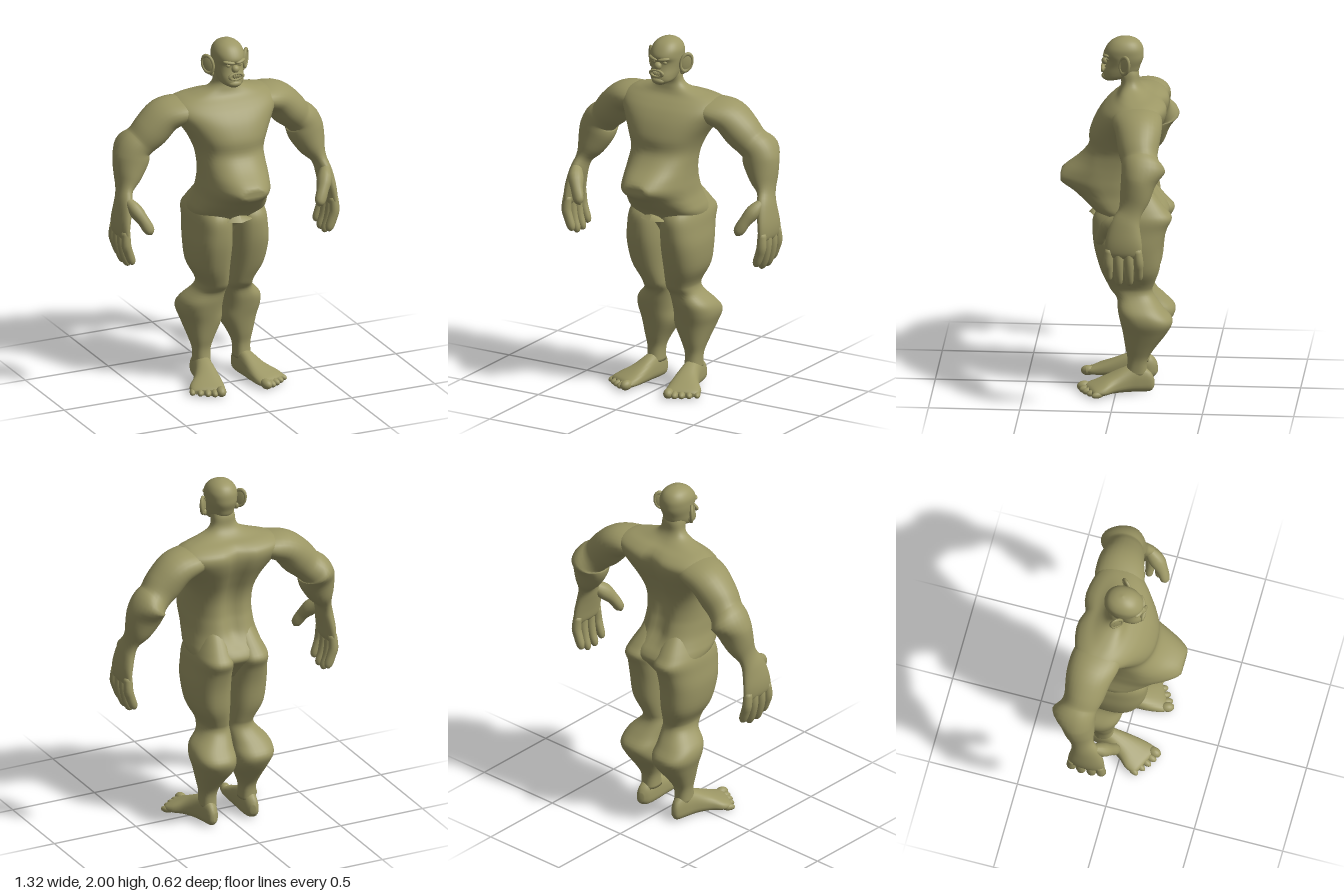
import * as THREE from 'three';

const V = (x, y, z) => new THREE.Vector3(x, y, z);
const UP = V(0, 1, 0), DOWN = V(0, -1, 0), FRONT = V(0, 0, 1);

// Catmull-Rom interpolation through rows of numbers
function smoothRows(rows, steps) {
  const out = [], last = rows.length - 1;
  for (let i = 0; i < last; i++) {
    const [a, b, c, d] = [rows[Math.max(i - 1, 0)], rows[i], rows[i + 1], rows[Math.min(i + 2, last)]];
    for (let s = 0; s < steps; s++) {
      const t = s / steps;
      out.push(b.map((_, k) => 0.5 * (2 * b[k] + (c[k] - a[k]) * t
        + (2 * a[k] - 5 * b[k] + 4 * c[k] - d[k]) * t * t
        + (3 * b[k] - a[k] - 3 * c[k] + d[k]) * t * t * t)));
    }
  }
  out.push(rows[last]);
  return out;
}

// Skin over rings [x, y, z, side radius, front radius, back radius]
function loft(rows, { axis = null, ref = FRONT, n = 28, steps = 4, power = 1, shape = null } = {}) {
  const rings = smoothRows(rows, steps), pos = [], idx = [], m = rings.length;
  const centre = i => V(...rings[i].slice(0, 3));
  rings.forEach(([x, y, z, a, f, b], i) => {
    const t = axis ? axis.clone().normalize()
      : centre(Math.min(i + 1, m - 1)).sub(centre(Math.max(i - 1, 0))).normalize();
    const w = ref.clone().addScaledVector(t, -ref.dot(t)).normalize();
    const u = w.clone().cross(t);
    for (let j = 0; j < n; j++) {
      const q = j / n * Math.PI * 2, co = Math.cos(q), si = Math.sin(q);
      const cu = Math.sign(co) * Math.abs(co) ** power, su = Math.sign(si) * Math.abs(si) ** power;
      const p = V(x, y, z).addScaledVector(u, cu * Math.max(a, 0.002))
        .addScaledVector(w, su * Math.max(si > 0 ? f : b, 0.002));
      if (shape) shape(p);
      pos.push(p.x, p.y, p.z);
      if (i < m - 1) {
        const k = i * n + j, l = i * n + (j + 1) % n;
        idx.push(k, l, k + n, l, l + n, k + n);
      }
    }
  });
  for (const i of [0, m - 1]) { // end caps
    const c = pos.length / 3;
    pos.push(...centre(i).toArray());
    for (let j = 0; j < n; j++) {
      const k = i * n + j, l = i * n + (j + 1) % n;
      idx.push(c, i ? k : l, i ? l : k);
    }
  }
  const g = new THREE.BufferGeometry();
  g.setAttribute('position', new THREE.Float32BufferAttribute(pos, 3));
  g.setIndex(idx);
  g.computeVertexNormals();
  return g;
}

// Level ring given by its front and back z
const slab = (x, y, a, front, back, c = (front + back) / 2) => [x, y, c, a, front - c, c - back];

function place(g, p, r = [0, 0, 0]) {
  return g.rotateX(r[0]).rotateZ(r[2]).rotateY(r[1]).translate(...p);
}
const blob = (p, s, r) => place(new THREE.SphereGeometry(1, 18, 12).scale(...s), p, r);

function mirrored(g) {
  const c = g.clone().scale(-1, 1, 1), i = c.index.array;
  for (let k = 0; k < i.length; k += 3) [i[k], i[k + 1]] = [i[k + 1], i[k]];
  c.computeVertexNormals();
  return c;
}

export function createModel() {
  const model = new THREE.Group();
  const skin = new THREE.MeshStandardMaterial({ color: 0x9c9765 });
  skin.name = 'olive skin';
  const add = (name, g) => {
    const mesh = new THREE.Mesh(g, skin);
    mesh.name = name;
    model.add(mesh);
  };
  const pair = (name, g) => { add('left ' + name, g); add('right ' + name, mirrored(g)); };

  // Pelvis, belly, chest and neck, with a blunt tapered belly and a groove along the spine
  const step = THREE.MathUtils.smoothstep;
  add('torso', loft([
    slab(0, 0.87, 0.15, 0.02, -0.18), slab(0, 0.95, 0.19, 0.065, -0.24), slab(0, 1.0, 0.204, 0.112, -0.28),
    slab(0, 1.04, 0.207, 0.145, -0.268, -0.04), slab(0, 1.08, 0.198, 0.19, -0.238, -0.02),
    slab(0, 1.13, 0.187, 0.25, -0.21, 0), slab(0, 1.19, 0.183, 0.335, -0.19, 0.02),
    slab(0, 1.24, 0.18, 0.305, -0.178, 0.02), slab(0, 1.31, 0.18, 0.215, -0.175, 0),
    slab(0, 1.38, 0.188, 0.16, -0.19, -0.03), slab(0, 1.46, 0.22, 0.155, -0.225, -0.06),
    slab(0, 1.54, 0.272, 0.125, -0.262, -0.1), slab(0, 1.6, 0.315, 0.085, -0.278, -0.13),
    slab(0, 1.64, 0.31, 0.045, -0.268, -0.14), slab(0, 1.67, 0.255, 0.01, -0.228, -0.13),
    slab(0, 1.69, 0.18, -0.005, -0.175, -0.1), slab(0, 1.715, 0.105, -0.014, -0.138), slab(0, 1.75, 0.072, -0.018, -0.118),
    slab(0, 1.8, 0.066, 0, -0.113), slab(0, 1.85, 0.055, 0, -0.09),
  ], {
    axis: UP, n: 48, power: 0.84,
    shape: p => {
      p.z = Math.min(p.z, 0.31);
      p.x *= 1 - 0.9 * Math.max(0, p.z - 0.12);
      const fade = step(p.y, 1.02, 1.15) * (1 - step(p.y, 1.62, 1.72));
      if (p.z < -0.1) p.z += 0.03 * fade * Math.exp(-((p.x / 0.05) ** 2));
    },
  }));
  add('groin fold', place(new THREE.ConeGeometry(0.085, 0.045, 4).scale(1, 1, 0.45), [0, 1.01, 0.12]));

  // Legs: buttock, thigh, knee, calf, ankle
  pair('leg', loft([
    slab(0.085, 1.15, 0.055, 0.02, -0.175), slab(0.092, 1.09, 0.078, 0.06, -0.228), slab(0.1, 1.04, 0.095, 0.1, -0.27),
    slab(0.104, 0.995, 0.106, 0.127, -0.303),
    slab(0.106, 0.93, 0.111, 0.132, -0.275), slab(0.109, 0.83, 0.116, 0.122, -0.25), slab(0.102, 0.7, 0.106, 0.088, -0.235),
    slab(0.079, 0.61, 0.083, 0.052, -0.205), slab(0.074, 0.57, 0.079, 0.032, -0.194), slab(0.082, 0.53, 0.088, 0, -0.21),
    slab(0.11, 0.47, 0.113, -0.008, -0.26), slab(0.115, 0.41, 0.119, -0.02, -0.307), slab(0.106, 0.34, 0.107, -0.035, -0.278),
    slab(0.116, 0.25, 0.07, -0.05, -0.21), slab(0.12, 0.18, 0.048, -0.062, -0.17), slab(0.12, 0.1, 0.046, -0.05, -0.17),
  ], { axis: DOWN, n: 36, power: 0.83 }));

  // Feet and toes
  pair('foot', loft([
    [0.115, 0.05, -0.203, 0.015, 0.03, 0.02], [0.117, 0.05, -0.18, 0.038, 0.07, 0.045], [0.122, 0.05, -0.12, 0.05, 0.105, 0.048],
    [0.132, 0.05, -0.05, 0.058, 0.09, 0.048], [0.152, 0.04, 0.03, 0.076, 0.062, 0.038],
    [0.18, 0.03, 0.09, 0.096, 0.042, 0.028], [0.194, 0.028, 0.135, 0.094, 0.023, 0.025], [0.198, 0.025, 0.15, 0.075, 0.012, 0.02],
  ], { axis: V(0.5, 0, 1), ref: UP, power: 0.85 }));
  for (let i = 0; i < 5; i++) {
    const r = i ? 0.0215 - i * 0.0006 : 0.028;
    pair('toe', blob([0.136 + i * 0.032, r + 0.001, 0.177 - i * 0.012 - i * i * 0.0025], [r, r, 0.038], [0.08, 0.25 + i * 0.08, 0]));
  }

  // Arms: shoulder, biceps, pointed elbow, forearm, wrist and palm
  pair('arm', loft([
    [0.14, 1.605, -0.12, 0.055, 0.13, 0.1], [0.24, 1.597, -0.13, 0.073, 0.145, 0.128], [0.335, 1.568, -0.145, 0.092, 0.135, 0.12],
    [0.41, 1.495, -0.15, 0.1, 0.12, 0.105], [0.465, 1.44, -0.16, 0.09, 0.108, 0.095], [0.508, 1.4, -0.16, 0.096, 0.102, 0.138],
    [0.528, 1.335, -0.155, 0.102, 0.1, 0.093], [0.556, 1.25, -0.135, 0.076, 0.085, 0.08],
    [0.586, 1.18, -0.112, 0.042, 0.067, 0.063], [0.605, 1.11, -0.088, 0.04, 0.085, 0.08],
    [0.622, 1.02, -0.078, 0.037, 0.1, 0.1], [0.626, 0.955, -0.078, 0.029, 0.103, 0.1], [0.624, 0.93, -0.078, 0.012, 0.085, 0.085],
  ]));

  // Fingers and thumb
  const fingers = [[0.006, 0.79], [-0.05, 0.765], [-0.108, 0.765], [-0.16, 0.79]];
  for (const [z, tip] of fingers) {
    pair('finger', loft([
      [0.626, 0.98, z * 0.9 - 0.008, 0.024, 0.025, 0.025], [0.628, 0.91, z, 0.027, 0.027, 0.027],
      [0.616, tip + 0.075, z, 0.026, 0.025, 0.025], [0.598, tip + 0.025, z, 0.024, 0.022, 0.022],
      [0.589, tip + 0.004, z, 0.013, 0.013, 0.013], [0.587, tip, z, 0.002, 0.002, 0.002],
    ], { n: 14, steps: 3 }));
  }
  pair('thumb', loft([
    [0.6, 1.15, -0.06, 0.02, 0.025, 0.025], [0.572, 1.1, -0.003, 0.04, 0.046, 0.046],
    [0.542, 1.05, 0.036, 0.033, 0.034, 0.034], [0.522, 1.01, 0.055, 0.033, 0.029, 0.029],
    [0.51, 0.985, 0.064, 0.025, 0.023, 0.023], [0.502, 0.97, 0.068, 0.003, 0.003, 0.003],
  ], { n: 16, steps: 3 }));

  // Head
  add('head', loft([
    [0, 1.75, 0.045, 0.025, 0.025, 0.03], [0, 1.77, 0.02, 0.06, 0.06, 0.075], [0, 1.8, 0, 0.071, 0.08, 0.108],
    [0, 1.84, -0.02, 0.077, 0.085, 0.104], [0, 1.875, -0.03, 0.083, 0.09, 0.108], [0, 1.905, -0.035, 0.085, 0.112, 0.105],
    [0, 1.94, -0.036, 0.083, 0.1, 0.1], [0, 1.972, -0.038, 0.065, 0.075, 0.079], [0, 1.992, -0.04, 0.036, 0.04, 0.043],
    [0, 2.0, -0.04, 0.004, 0.004, 0.004],
  ], { axis: UP, n: 36, power: 0.92 }));

  // Face
  add('nose', blob([0, 1.858, 0.07], [0.022, 0.022, 0.02], [-0.3, 0, 0]));
  add('chin', blob([0, 1.773, 0.062], [0.04, 0.021, 0.028]));
  add('lips', place(new THREE.TorusGeometry(0.03, 0.009, 8, 28).scale(1.25, 0.6, 1), [0, 1.818, 0.082]));
  for (let i = -2; i <= 2; i++) add('tooth', blob([i * 0.012, 1.818, 0.081 - i * i * 0.0015], [0.007, 0.013, 0.009]));
  pair('brow', blob([0.034, 1.897, 0.062], [0.034, 0.011, 0.017], [0, 0.4, 0.15]));
  pair('eye', blob([0.034, 1.876, 0.051], [0.013, 0.01, 0.011]));

  // Ears: thin dish, rolled rim and lobe
  const tilt = [0, 0.85, -0.25];
  pair('ear dish', blob([0.112, 1.864, -0.045], [0.035, 0.05, 0.009], tilt));
  pair('ear rim', place(new THREE.TorusGeometry(0.038, 0.009, 8, 28).scale(0.86, 1.28, 1), [0.113, 1.865, -0.044], tilt));
  pair('ear lobe', blob([0.096, 1.817, -0.035], [0.015, 0.02, 0.01], tilt));

  return model;
}
